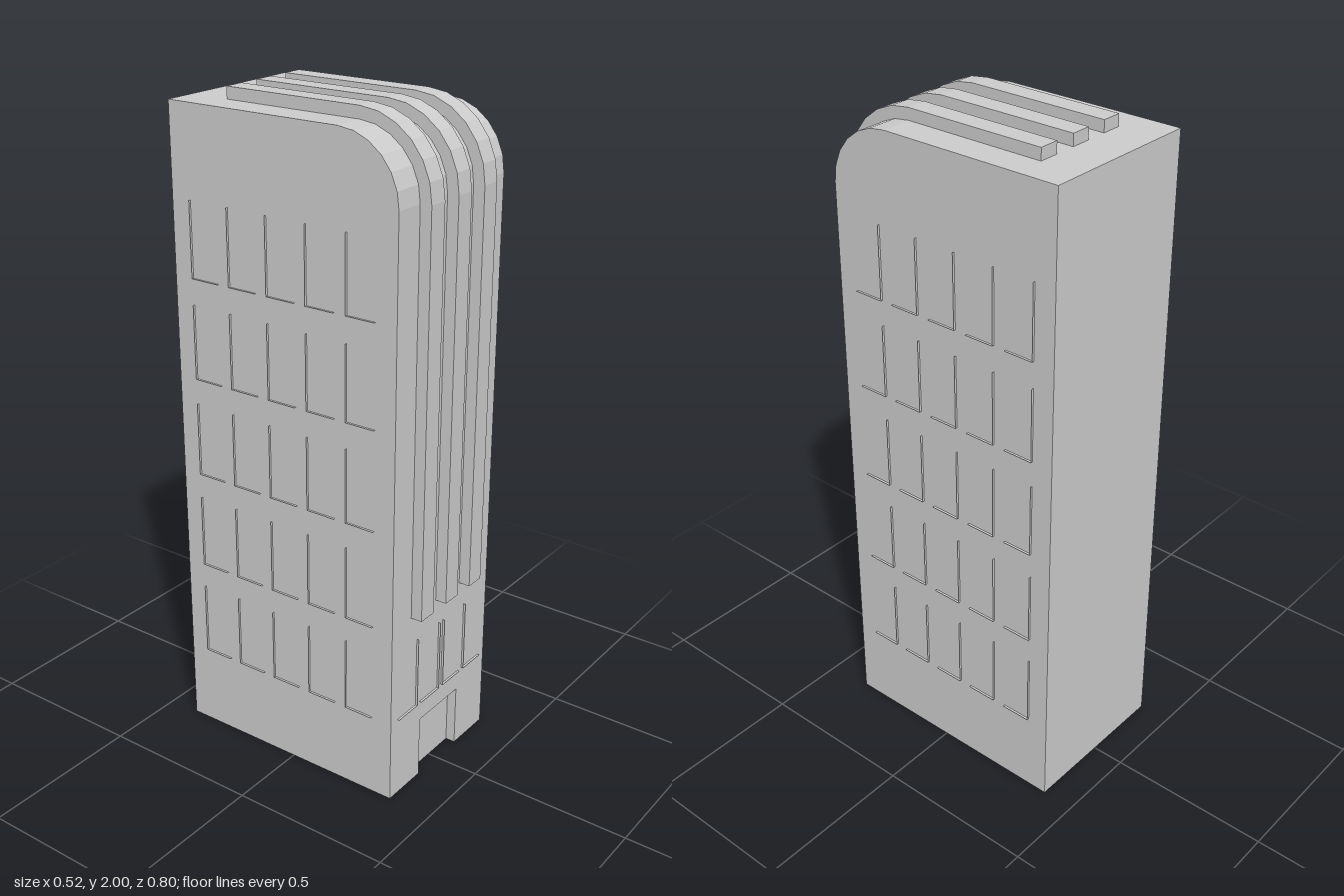
import * as THREE from 'three';

const HALF = 0.252, BACK = -0.4, FRONT = 0.36, ROOF = 1.965;
const R = 0.19, CZ = FRONT - R, CY = ROOF - R; // rounded front top edge
const DOOR_W = 0.1, DOOR_H = 0.195, DOOR_D = 0.03;

// Six-segment quarter arc as [z, y] points, from the roof down to the front
function arc(r) {
  const pts = [];
  for (let i = 0; i <= 6; i++) {
    const a = (i / 6) * Math.PI / 2;
    pts.push([CZ + r * Math.sin(a), CY + r * Math.cos(a)]);
  }
  return pts;
}

function shapeOf(pts) {
  return new THREE.Shape(pts.map(([u, v]) => new THREE.Vector2(u, v)));
}

// Open sheet: a [z, y] profile swept between -halfWidth and +halfWidth in x
function sheet(profile, halfWidth) {
  const pos = [];
  for (let i = 0; i < profile.length - 1; i++) {
    const [z0, y0] = profile[i], [z1, y1] = profile[i + 1], w = halfWidth;
    pos.push(-w, y0, z0, -w, y1, z1, w, y1, z1);
    pos.push(-w, y0, z0, w, y1, z1, w, y0, z0);
  }
  const g = new THREE.BufferGeometry();
  g.setAttribute('position', new THREE.Float32BufferAttribute(pos, 3));
  g.computeVertexNormals();
  return g;
}

export function createModel() {
  const model = new THREE.Group();
  model.name = 'officeTower';
  const concrete = new THREE.MeshStandardMaterial({ color: 0xcccccc, side: THREE.DoubleSide, flatShading: true });
  concrete.name = 'concreteGrey';

  function add(name, geometry, parent = model) {
    const m = new THREE.Mesh(geometry, concrete);
    m.name = name;
    parent.add(m);
    return m;
  }

  // Shell: back, roof and rounded edge in one sweep, open at the bottom
  add('backAndRoof', sheet([[BACK, 0], [BACK, ROOF], ...arc(R)], HALF));

  // Side walls
  const side = [[BACK, 0], [BACK, ROOF], ...arc(R), [FRONT, 0]];
  for (const s of [-1, 1]) {
    const wall = add(s > 0 ? 'leftWall' : 'rightWall',
      new THREE.ShapeGeometry(shapeOf(side.map(([z, y]) => [-s * z, y]))));
    wall.rotation.y = s * Math.PI / 2;
    wall.position.x = s * HALF;
  }

  // Front wall with a notch for the doorway
  const front = add('frontWall', new THREE.ShapeGeometry(shapeOf([
    [-HALF, 0], [-DOOR_W, 0], [-DOOR_W, DOOR_H], [DOOR_W, DOOR_H],
    [DOOR_W, 0], [HALF, 0], [HALF, CY], [-HALF, CY],
  ])));
  front.position.z = FRONT;

  // Recessed doorway: panel, lintel and jambs
  const doorway = new THREE.Group();
  doorway.name = 'doorway';
  model.add(doorway);
  add('doorPanel', new THREE.PlaneGeometry(2 * DOOR_W, DOOR_H), doorway)
    .position.set(0, DOOR_H / 2, FRONT - DOOR_D);
  const lintel = add('doorLintel', new THREE.PlaneGeometry(2 * DOOR_W, DOOR_D), doorway);
  lintel.rotation.x = Math.PI / 2;
  lintel.position.set(0, DOOR_H, FRONT - DOOR_D / 2);
  for (const s of [-1, 1]) {
    const jamb = add('doorJamb', new THREE.PlaneGeometry(DOOR_D, DOOR_H), doorway);
    jamb.rotation.y = -s * Math.PI / 2;
    jamb.position.set(s * DOOR_W, DOOR_H / 2, FRONT - DOOR_D / 2);
  }

  // Three ribs running up the front and over the roof
  const T = 0.035, RIB_W = 0.062, RIB_BACK = -0.272, RIB_FOOT = 0.57;
  const ribShape = shapeOf([
    [RIB_BACK, ROOF], [RIB_BACK, ROOF + T], ...arc(R + T),
    [FRONT + T, RIB_FOOT], [FRONT, RIB_FOOT], ...arc(R).reverse(),
  ]);
  for (const x of [-0.127, 0, 0.127]) {
    const rib = add('rib', new THREE.ExtrudeGeometry(ribShape, { depth: RIB_W, bevelEnabled: false }));
    rib.rotation.y = -Math.PI / 2;
    rib.position.x = x + RIB_W / 2;
  }

  // Window trim: a paper-thin sill and one upright fin, local +z pointing outward
  const OUT = 0.007, WIN_H = 0.225;
  function windowTrim(width, finSide) {
    const g = new THREE.Group();
    g.name = 'windowTrim';
    const sill = add('windowSill', new THREE.PlaneGeometry(width, OUT), g);
    sill.rotation.x = -Math.PI / 2;
    sill.position.z = OUT / 2;
    const fin = add('windowFin', new THREE.PlaneGeometry(OUT, WIN_H), g);
    fin.rotation.y = Math.PI / 2;
    fin.position.set(finSide * width / 2, WIN_H / 2, OUT / 2);
    model.add(g);
    return g;
  }

  // Five by five windows on each side, fins at the rear
  for (const s of [-1, 1])
    for (let row = 0; row < 5; row++)
      for (let col = 0; col < 5; col++) {
        const w = windowTrim(0.094, s);
        w.rotation.y = s * Math.PI / 2;
        w.position.set(s * HALF, 0.26 + row * 0.303, -0.287 + col * 0.1335);
      }

  // Four windows above the door, fins toward the middle
  for (const s of [-1, 1])
    for (const x of [0.058, 0.173])
      windowTrim(0.094, -s).position.set(s * x, 0.26, FRONT);

  return model;
}
